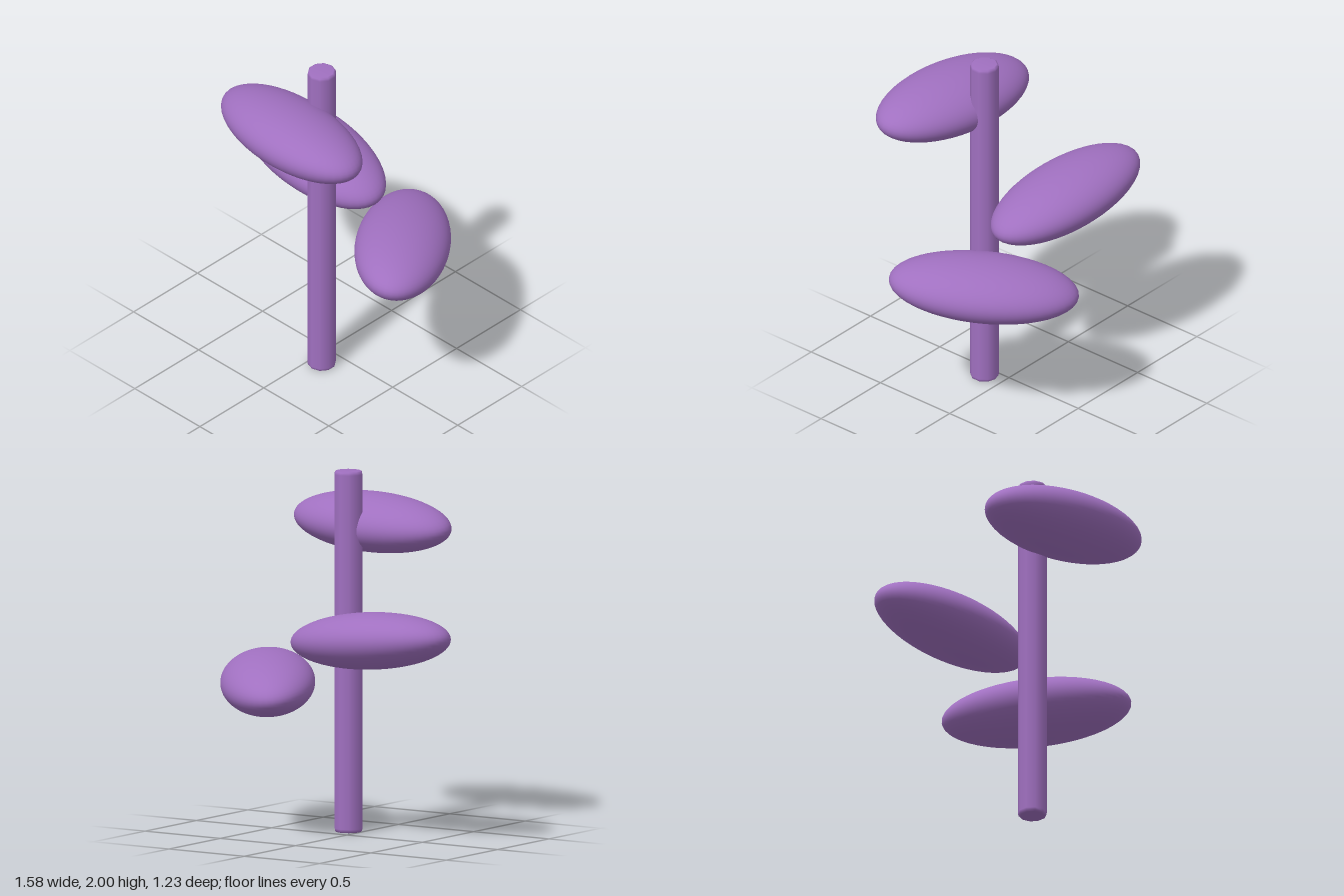
import * as THREE from 'three';

const material = new THREE.MeshStandardMaterial({ color: 0xa070c0 });

// A flattened, elongated leaf pad, tilted about its own axes
function leaf(name, position, yaw, pitch, roll) {
  const mesh = new THREE.Mesh(new THREE.SphereGeometry(1, 48, 32), material);
  mesh.name = name;
  mesh.scale.set(0.524, 0.158, 0.26);
  mesh.rotation.set(roll, yaw, pitch, 'YZX');
  mesh.position.set(...position);
  return mesh;
}

export function createModel() {
  const group = new THREE.Group();
  group.name = 'leafyStem';

  // Straight stem with slightly softened ends
  const profile = [[0, 0], [0.068, 0], [0.077, 0.006], [0.08, 0.02],
    [0.08, 1.98], [0.077, 1.994], [0.068, 2], [0, 2]]
    .map(([r, y]) => new THREE.Vector2(r, y));
  const stem = new THREE.Mesh(new THREE.LatheGeometry(profile, 10), material);
  stem.name = 'stem';
  stem.position.set(0.07, 0, 0.117);
  group.add(stem);

  // Three leaves staggered around the stem
  group.add(
    leaf('upperLeaf', [0.068, 1.69, 0.35], -0.106, 0.028, -0.1),
    leaf('middleLeaf', [-0.275, 1.118, -0.172], -0.072, -0.098, 0.07),
    leaf('lowerLeaf', [0.41, 0.835, -0.17], -0.919, 0.08, -0.086),
  );
  return group;
}
